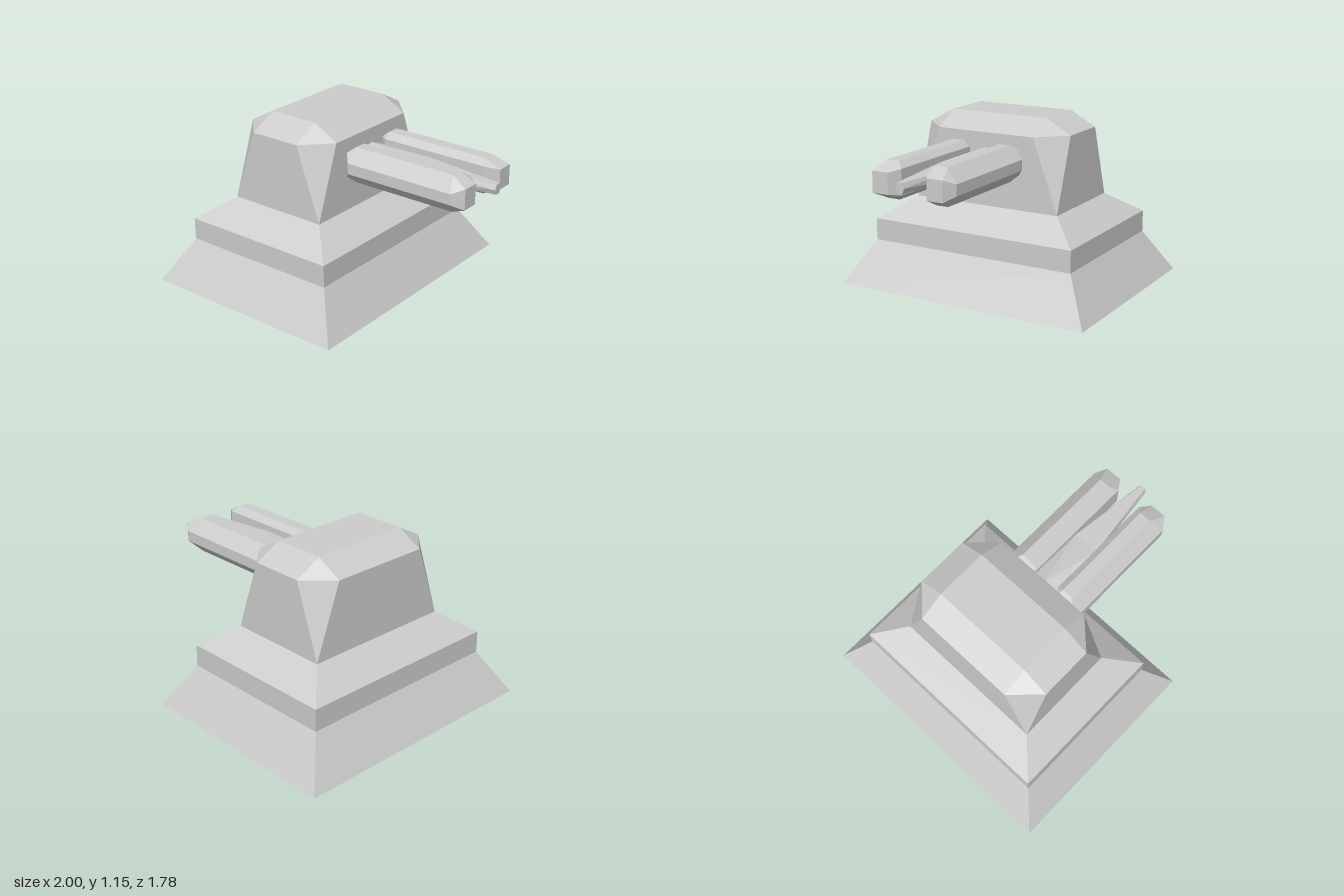
import * as THREE from 'three';
import { ConvexGeometry } from 'three/addons/geometries/ConvexGeometry.js';

const material = new THREE.MeshStandardMaterial({ color: 0xcccccc, flatShading: true });

// Corner points of a horizontal rectangle, ordered around the y axis
const rect = (y, x0, x1, z) => [[x0, y, z], [x1, y, z], [x1, y, -z], [x0, y, -z]];

// Joins successive rectangles with quads and closes the underside
function loftRects(rings) {
  const pos = [];
  const quad = (a, b, c, d) => pos.push(...a, ...b, ...c, ...a, ...c, ...d);
  for (let r = 0; r < rings.length - 1; r++) {
    for (let i = 0; i < 4; i++) {
      const j = (i + 1) % 4;
      quad(rings[r][i], rings[r][j], rings[r + 1][j], rings[r + 1][i]);
    }
  }
  const [a, b, c, d] = rings[0];
  quad(a, d, c, b);
  const geo = new THREE.BufferGeometry();
  geo.setAttribute('position', new THREE.Float32BufferAttribute(pos, 3));
  geo.computeVertexNormals();
  return geo;
}

const hull = (points) => new ConvexGeometry(points.map((p) => new THREE.Vector3(...p)));

export function createModel() {
  const model = new THREE.Group();
  const add = (name, geometry) => {
    const mesh = new THREE.Mesh(geometry, material);
    mesh.name = name;
    model.add(mesh);
  };

  // Stepped, sloping plinth
  add('base', loftRects([
    rect(0, -1, 0.43, 0.89),
    rect(0.29, -0.83, 0.26, 0.72),
    rect(0.435, -0.83, 0.26, 0.72),
    rect(0.575, -0.63, 0.06, 0.52),
  ]));

  // Turret: rectangular foot, octagonal shoulder, smaller rectangular roof
  add('turret', hull([
    ...rect(0.575, -0.63, 0.06, 0.52),
    ...rect(1.055, -0.63, 0.06, 0.345),
    ...rect(1.055, -0.46, -0.11, 0.52),
    ...rect(1.15, -0.46, -0.11, 0.345),
  ]));

  // Twin octagonal barrels with bevelled ends
  for (const s of [1, -1]) {
    const points = [];
    for (const v of [1, -1]) {
      const y = (h) => 0.882 + v * h;
      for (const z of [0.13, 0.21]) points.push([0.105, y(0.117), s * z], [0.82, y(0.117), s * z]);
      for (const x of [0.105, 0.86]) points.push([x, y(0.035), s * 0.293], [x, y(0.08), s * 0.087]);
      for (const z of [0.118, 0.245]) points.push([0.06, y(0.08), s * z]);
      for (const z of [0.135, 0.244]) points.push([0.93, y(0.066), s * z]);
    }
    add(s > 0 ? 'frontBarrel' : 'backBarrel', hull(points));
  }

  // Ridged block between the barrels and the tapering spike ahead of it
  const block = [], spike = [];
  for (const v of [1, -1]) {
    block.push([0.06, 0.888 + v * 0.07, 0], [0.46, 0.888 + v * 0.038, 0]);
    for (const s of [1, -1]) {
      block.push([0.06, 0.888 + v * 0.038, s * 0.087], [0.46, 0.888 + v * 0.036, s * 0.085]);
      spike.push([0.46, 0.888 + v * 0.036, s * 0.085], [1, 0.888 + v * 0.032, s * 0.017]);
    }
  }
  for (const s of [1, -1]) spike.push([1, 0.888, s * 0.03]);
  add('centreBlock', hull(block));
  add('centreSpike', hull(spike));

  return model;
}
